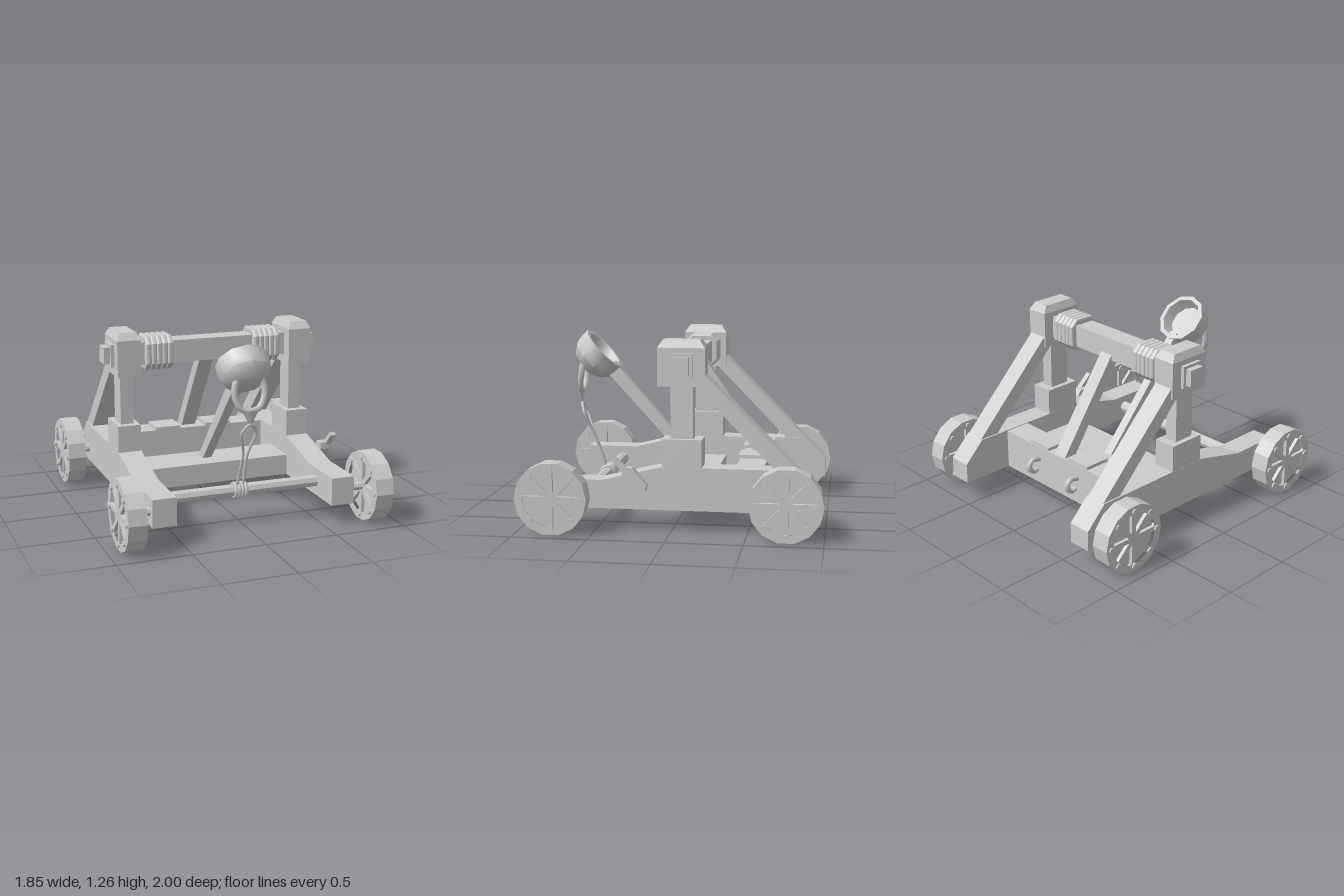
import * as THREE from 'three';
import { toCreasedNormals } from 'three/addons/utils/BufferGeometryUtils.js';

const grey = new THREE.MeshStandardMaterial({ color: 0xcccccc });
grey.name = 'plain grey';
const V = (x, y, z) => new THREE.Vector3(x, y, z);

export function createModel() {
  const model = new THREE.Group();
  model.name = 'catapult';

  const add = (name, geo, x = 0, y = 0, z = 0, parent = model) => {
    const mesh = new THREE.Mesh(geo, grey);
    mesh.name = name;
    mesh.position.set(x, y, z);
    parent.add(mesh);
    return mesh;
  };
  // box given by its limits on each axis
  const box = (name, x0, x1, y0, y1, z0, z1) =>
    add(name, new THREE.BoxGeometry(x1 - x0, y1 - y0, z1 - z0), (x0 + x1) / 2, (y0 + y1) / 2, (z0 + z1) / 2);
  // side profile of [z, y] points, extruded across x0..x1
  const slab = (name, pts, x0, x1) => {
    const shape = new THREE.Shape(pts.map(([z, y]) => new THREE.Vector2(-z, y)));
    const geo = new THREE.ExtrudeGeometry(shape, { depth: x1 - x0, bevelEnabled: false });
    return add(name, geo.rotateY(Math.PI / 2), x0, 0, 0);
  };
  // cylinder lying along x
  const rod = (name, r, x0, x1, y, z, sides, parent = model) =>
    add(name, toCreasedNormals(new THREE.CylinderGeometry(r, r, x1 - x0, sides).rotateZ(Math.PI / 2), 0.6),
      (x0 + x1) / 2, y, z, parent);
  const tube = (name, pts, r, closed = false) =>
    add(name, new THREE.TubeGeometry(new THREE.CatmullRomCurve3(pts, closed), 40, r, 6, closed));

  // wheels: rim, recessed web, eight spokes and studs
  const ring = (r) => Array.from({ length: 14 }, (_, i) => {
    const a = (i + 0.5) / 14 * Math.PI * 2;
    return new THREE.Vector2(Math.sin(a) * r, Math.cos(a) * r);
  });
  const rimShape = new THREE.Shape(ring(0.24));
  rimShape.holes.push(new THREE.Path(ring(0.183)));
  const rimGeo = new THREE.ExtrudeGeometry(rimShape, { depth: 0.126, bevelEnabled: false })
    .translate(0, 0, -0.063).rotateY(Math.PI / 2);
  for (const sx of [-1, 1]) for (const sz of [-1, 1]) {
    const wheel = new THREE.Group();
    wheel.name = 'wheel';
    wheel.position.set(sx * 0.852, 0.24, sz * 0.76);
    model.add(wheel);
    add('rim', rimGeo, 0, 0, 0, wheel);
    rod('web', 0.19, -0.035, 0.035, 0, 0, 14, wheel);
    for (let i = 0; i < 8; i++) {
      const a = i * Math.PI / 4;
      if (i < 4) add('spoke', new THREE.BoxGeometry(0.118, 0.375, 0.034), 0, 0, 0, wheel).rotation.x = a;
      rod('stud', 0.021, -0.073, 0.073, Math.cos(a) * 0.198, Math.sin(a) * 0.198, 8, wheel);
    }
    rod('axle', 0.03, sx * 0.75 - 0.06, sx * 0.75 + 0.06, 0.24, sz * 0.76, 8);
  }

  // both sides of the frame
  const headGeo = (w, h, d, inX, inZ) => {
    const g = new THREE.BoxGeometry(w, h, d);
    const p = g.attributes.position;
    for (let i = 0; i < p.count; i++) if (p.getY(i) > 0) {
      p.setX(i, p.getX(i) * (1 - 2 * inX / w));
      p.setZ(i, p.getZ(i) * (1 - 2 * inZ / d));
    }
    g.computeVertexNormals();
    return g;
  };
  for (const s of [-1, 1]) {
    const c = s * 0.626;
    slab('side beam', [[0.825, 0.145], [0.825, 0.335], [0.46, 0.335], [0.07, 0.43],
      [-0.82, 0.43], [-0.965, 0.285], [-0.965, 0.145]], c - 0.081, c + 0.081);
    slab('rear brace', [[-0.1, 1.02], [-0.2, 1.055], [-0.96, 0.29], [-0.83, 0.27]], c - 0.07, c + 0.07);
    box('post foot', c - 0.08, c + 0.08, 0.42, 0.615, -0.2, 0.064);
    box('post', c - 0.045, c + 0.045, 0.6, 0.97, -0.14, 0.01);
    box('post head', c - 0.082, c + 0.082, 0.96, 1.21, -0.22, 0.09);
    add('post cap', headGeo(0.164, 0.05, 0.31, 0.022, 0.035), c, 1.235, -0.065);
    box('outer plate', s * 0.715 - 0.018, s * 0.715 + 0.018, 1.02, 1.175, -0.143, 0.012);
    box('bar end', s * 0.74 - 0.035, s * 0.74 + 0.035, 1.04, 1.155, -0.122, -0.008);
  }

  // cross members
  box('crossbar', -0.6, 0.6, 1.02, 1.175, -0.145, 0.005);
  box('middle beam', -0.56, 0.56, 0.145, 0.29, -0.225, 0.08);
  box('rear beam', -0.56, 0.56, 0.145, 0.425, -0.595, -0.41);
  for (const s of [-1, 1])
    box('rear plate', s * 0.195 - 0.095, s * 0.195 + 0.095, 0.42, 0.448, -0.59, -0.4);
  rod('front rod', 0.042, -0.56, 0.56, 0.245, 0.565, 8);
  slab('centre strut', [[-0.06, 1.05], [-0.145, 1.06], [-0.59, 0.42], [-0.49, 0.42]], -0.062, 0.042);

  // rope coils on the crossbar: square loops with cut corners
  const h = 0.105, k = 0.065;
  const coilShape = new THREE.Shape([[h, -k], [h, k], [k, h], [-k, h], [-h, k], [-h, -k], [-k, -h], [k, -h]]
    .map(([a, b]) => new THREE.Vector2(a, b)));
  const coilGeo = new THREE.ExtrudeGeometry(coilShape,
    { depth: 0.016, bevelThickness: 0.012, bevelSize: 0.012, bevelSegments: 2 })
    .translate(0, 0, -0.008).rotateY(Math.PI / 2);
  for (const s of [-1, 1]) for (let i = -2; i <= 2; i++)
    add('rope coil', coilGeo, s * 0.394 + i * 0.039, 1.098, -0.067);

  // rear hooks
  for (const s of [-1, 1]) {
    const pts = [];
    for (let i = 0; i <= 8; i++) {
      const a = -0.5 + i / 8 * 4.2;
      pts.push(V(s * 0.197, 0.3 + Math.cos(a) * 0.045, -0.64 - Math.sin(a) * 0.045));
    }
    pts.unshift(V(s * 0.197, 0.33, -0.58));
    tube('hook', pts, 0.018);
  }

  // throwing arm and cup
  slab('arm', [[-0.15, 0.285], [-0.06, 0.285], [0.56, 0.962], [0.51, 1.04]], -0.05, 0.015);
  const cupProfile = [[0, 0.195], [0.07, 0.195], [0.13, 0.165], [0.168, 0.115], [0.178, 0.06], [0.178, 0],
    [0.148, 0], [0.125, 0.085], [0, 0.09]].map(([r, d]) => new THREE.Vector2(r, -d));
  const cup = add('cup', toCreasedNormals(new THREE.LatheGeometry(cupProfile, 10), 0.65), -0.015, 1.131, 0.585);
  cup.rotation.x = -0.82;

  // shackle, tie and trigger rope
  const cx = -0.017;
  const half = [[0.07, 1.07, 0.72], [0.1, 1.0, 0.73], [0.1, 0.92, 0.74], [0.06, 0.85, 0.75]];
  tube('shackle', [...half.map(([x, y, z]) => V(cx - x, y, z)), V(cx, 0.835, 0.755),
    ...half.reverse().map(([x, y, z]) => V(cx + x, y, z))], 0.021);
  const tie = add('tie', new THREE.ConeGeometry(0.062, 0.11, 8).rotateX(Math.PI), cx, 0.785, 0.755);
  tie.scale.z = 0.4;
  const zAt = (y) => 0.565 + (y - 0.24) * 0.373;
  const loop = [[0, 0.745], [0.03, 0.72], [0.052, 0.675], [0.035, 0.61], [0.015, 0.52], [0.012, 0.28]];
  tube('trigger rope', [...loop.map(([x, y]) => V(cx + x, y, zAt(y))),
    ...loop.slice(1).reverse().map(([x, y]) => V(cx - x, y, zAt(y)))], 0.01, true);
  for (let i = 0; i < 4; i++)
    add('rope wrap', new THREE.TorusGeometry(0.046, 0.013, 6, 14).rotateY(Math.PI / 2),
      cx + (i - 1.5) * 0.024, 0.245, 0.565);

  // release lever on the left beam
  slab('lever plate', [[0.315, 0.43], [0.25, 0.43], [0.155, 0.32], [0.16, 0.28], [0.205, 0.27], [0.315, 0.38]],
    0.7, 0.765);
  slab('lever handle', [[0.4, 0.5], [0.38, 0.52], [0.26, 0.41], [0.285, 0.38]], 0.735, 0.775);

  return model;
}
